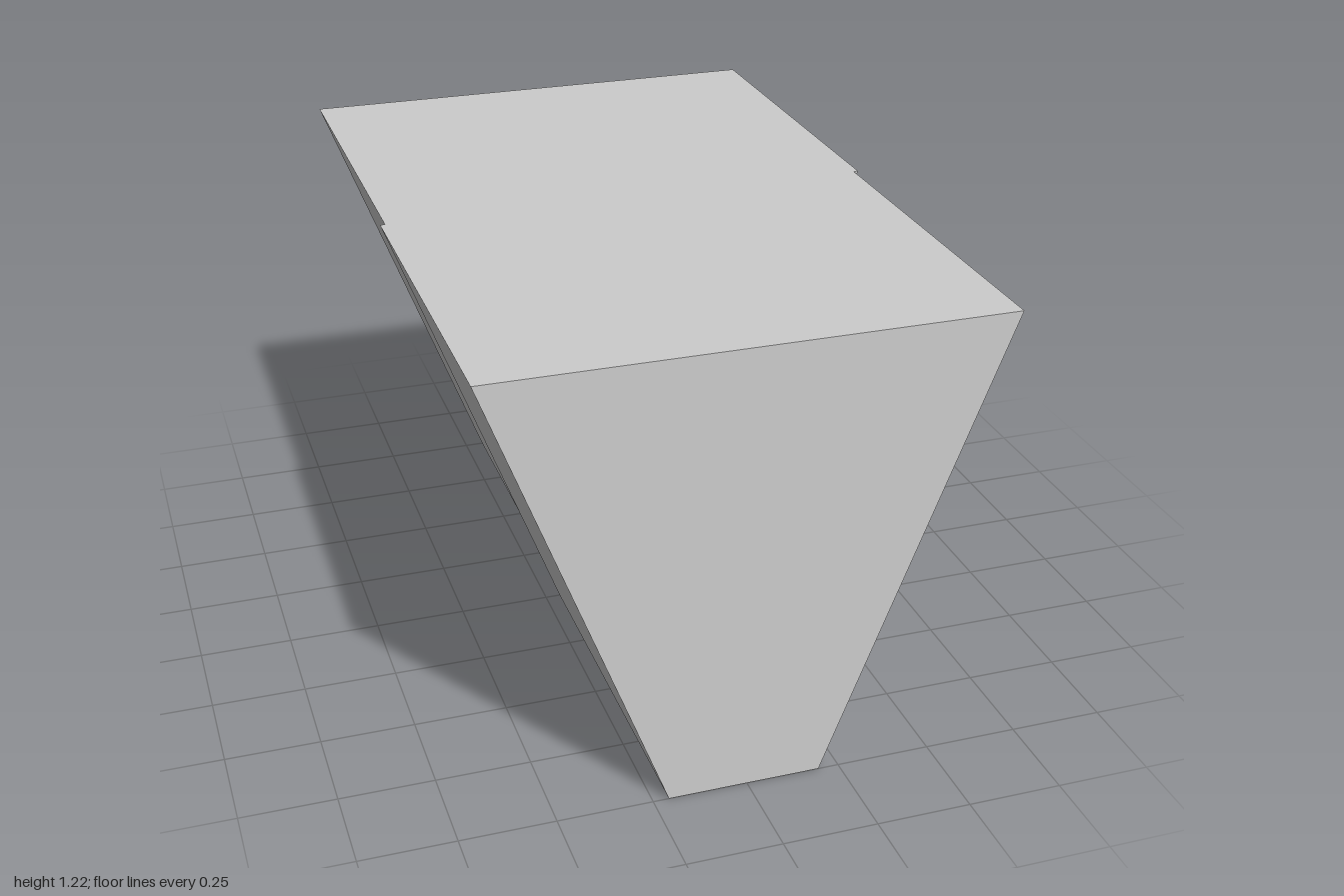
import * as THREE from 'three';

const HEIGHT = 1.22;
const OFFSET = 0.0065; // sideways slip of each half

// Solid half: a trapezoid, narrow at the base, extruded from z = 0 to z = 1
function makeHalf(name) {
  const top = 0.668, base = 0.202;
  const profile = new THREE.Shape([
    new THREE.Vector2(-base, 0),
    new THREE.Vector2(base, 0),
    new THREE.Vector2(top, HEIGHT),
    new THREE.Vector2(-top, HEIGHT),
  ]);
  const geometry = new THREE.ExtrudeGeometry(profile, { depth: 1, bevelEnabled: false });
  geometry.translate(-OFFSET, 0, 0);
  const mesh = new THREE.Mesh(
    geometry,
    new THREE.MeshStandardMaterial({ color: 0xcccccc, flatShading: true })
  );
  mesh.name = name;
  return mesh;
}

export function createModel() {
  const model = new THREE.Group();
  model.name = 'taperedBlock';

  // The back half is the front half turned around, so the two sit slightly offset
  const front = makeHalf('frontHalf');
  const back = makeHalf('backHalf');
  back.rotation.y = Math.PI;

  model.add(front, back);
  return model;
}
